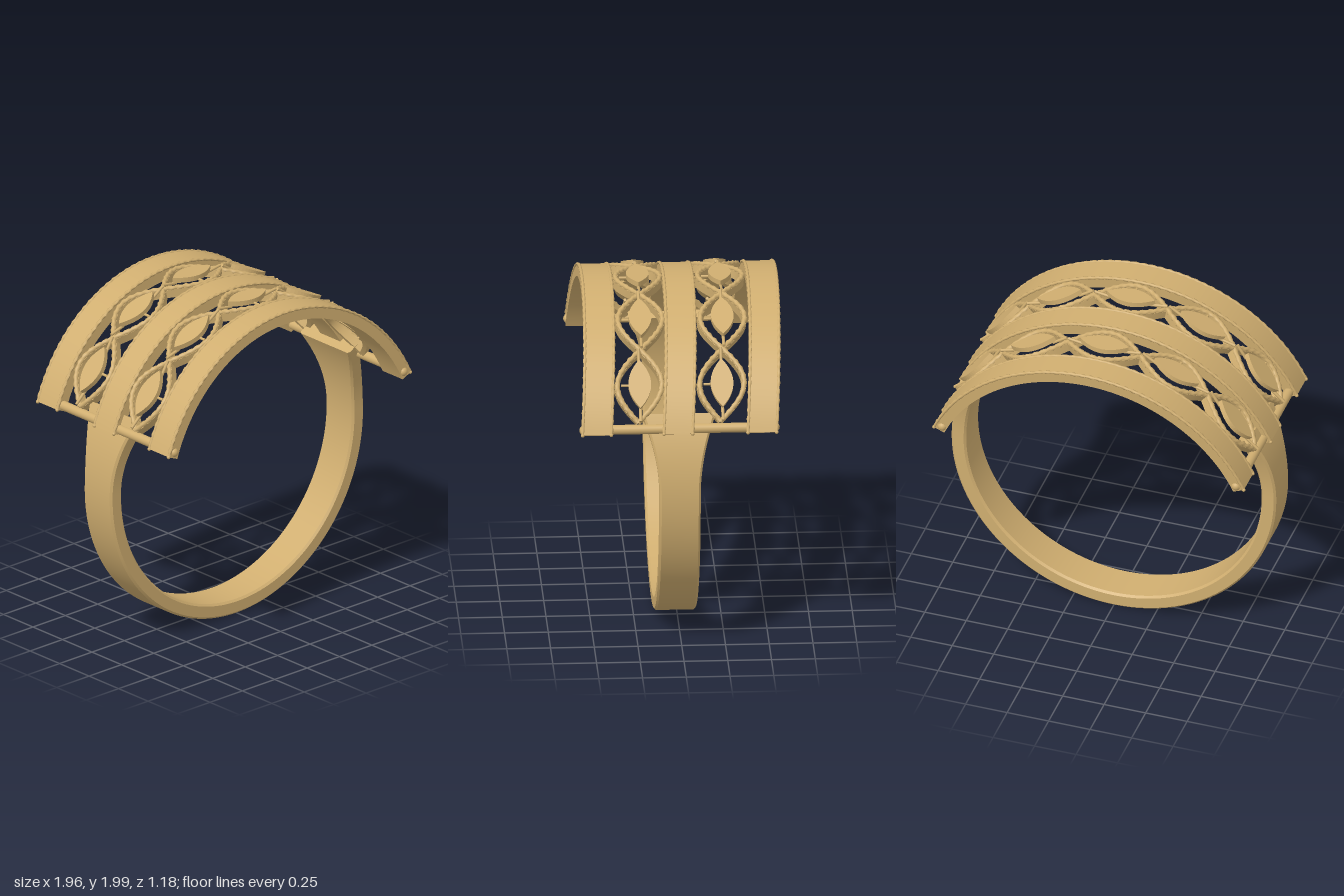
import * as THREE from 'three';
import { toCreasedNormals } from 'three/addons/utils/BufferGeometryUtils.js';

const gold = new THREE.MeshStandardMaterial({ color: 0xd0ae70 });
const rad = THREE.MathUtils.degToRad;
const CY = 0.968; // height of the common centre of the top arcs

// Point on the top: angle from straight up, radius, depth (leaning back with height)
function arcPoint(phi, r, z) {
  const y = CY + r * Math.cos(phi);
  return new THREE.Vector3(r * Math.sin(phi), y, z - 0.072 * (y - 1.35));
}

// Solid skinned over closed cross-sections, capped at both ends
function sweep(steps, section) {
  const pos = [], idx = [];
  let n = 0;
  for (let i = 0; i <= steps; i++) {
    const pts = section(i / steps);
    n = pts.length;
    pts.forEach(p => pos.push(p.x, p.y, p.z));
  }
  for (let i = 0; i < steps; i++) {
    for (let j = 0; j < n; j++) {
      const a = i * n + j, b = i * n + (j + 1) % n;
      idx.push(a, b, a + n, b, b + n, a + n);
    }
  }
  const last = steps * n;
  for (let j = 1; j < n - 1; j++) {
    idx.push(0, j + 1, j, last, last + j, last + j + 1);
  }
  const geo = new THREE.BufferGeometry();
  geo.setAttribute('position', new THREE.Float32BufferAttribute(pos, 3));
  geo.setIndex(idx);
  return toCreasedNormals(geo, rad(30));
}

function add(parent, name, geo) {
  const mesh = new THREE.Mesh(geo, gold);
  mesh.name = name;
  parent.add(mesh);
  return mesh;
}

// Twisted wire following a path of t in 0..1
function rope(path, radius, segments) {
  const curve = new THREE.Curve();
  curve.getPoint = (t, target = new THREE.Vector3()) => target.copy(path(t));
  const geo = new THREE.TubeGeometry(curve, segments, radius, 8);
  const p = geo.attributes.position, n = geo.attributes.normal;
  for (let i = 0; i < p.count; i++) {
    const ring = Math.floor(i / 9), side = i % 9;
    const d = radius * 0.22 * Math.cos(side * Math.PI / 2 - ring * 1.1);
    p.setXYZ(i, p.getX(i) + n.getX(i) * d, p.getY(i) + n.getY(i) * d, p.getZ(i) + n.getZ(i) * d);
  }
  geo.computeVertexNormals();
  return geo;
}

// Finger ring, open at the top and widening towards its two ends
function shank() {
  const c = 0.978, r0 = 0.89, r1 = 0.978, b = 0.012;
  return sweep(120, t => {
    const phi = rad(60.5 + 239 * t);
    const up = Math.max(0, c + 0.93 * Math.cos(phi) - 1);
    const w = 0.1175 + Math.min(0.09, 0.06 * (up / 0.35) ** 2);
    return [[r0, -w + b], [r0 + b, -w], [r1 - b, -w], [r1, -w + b],
      [r1, w - b], [r1 - b, w], [r0 + b, w], [r0, w - b]]
      .map(([r, z]) => new THREE.Vector3(r * Math.sin(phi), c + r * Math.cos(phi), 0.02 + z));
  });
}

// Plain arched band with a wire along each edge
function archedBand(z) {
  const band = new THREE.Group();
  band.name = 'archedBand';
  const end = rad(66.9), w = 0.085;
  const angle = t => end * (2 * t - 1);
  add(band, 'bandPlate', sweep(80, t =>
    [[0.946, -w], [1.016, -w], [1.016, w], [0.946, w]].map(([r, d]) => arcPoint(angle(t), r, z + d))));
  for (const s of [-1, 1]) {
    const edge = t => arcPoint(angle(t), 1.014, z + s * (w - 0.003));
    add(band, 'edgeWire', rope(edge, 0.009, 260));
    for (const t of [0, 1]) {
      add(band, 'wireEnd', new THREE.SphereGeometry(0.011, 10, 8)).position.copy(edge(t));
    }
  }
  return band;
}

// Pointed-oval plate, lying flat
function leafGeometry() {
  const shape = new THREE.Shape();
  shape.moveTo(-0.145, 0);
  shape.quadraticCurveTo(0, -0.13, 0.145, 0);
  shape.quadraticCurveTo(0, 0.13, -0.145, 0);
  const geo = new THREE.ExtrudeGeometry(shape, { depth: 0.03, bevelEnabled: false, curveSegments: 16 });
  return geo.rotateX(-Math.PI / 2);
}

// Openwork strip: two crossing wavy ribbons with a leaf in each of five loops
function openworkStrip(z) {
  const strip = new THREE.Group();
  strip.name = 'openworkStrip';
  const lobe = rad(25.2), amp = 0.127, w = 0.014;
  const angle = t => lobe * 5 * (t - 0.5);
  for (const s of [-1, 1]) {
    const wave = phi => s * amp * Math.cos(Math.PI * phi / lobe);
    add(strip, 'wavyRibbon', sweep(120, t => {
      const phi = angle(t);
      const slope = -s * amp * Math.PI / lobe * Math.sin(Math.PI * phi / lobe);
      const len = Math.hypot(1, slope);
      return [[0.95, -w], [1.0, -w], [1.0, w], [0.95, w]].map(([r, d]) =>
        arcPoint(phi - d * slope / len, r, z + wave(phi) + d / len));
    }));
    add(strip, 'wavyWire', rope(t => arcPoint(angle(t), 1.003, z + wave(angle(t))), 0.014, 320));
  }
  const leaf = leafGeometry();
  for (let i = -2; i <= 2; i++) {
    const setting = new THREE.Group();
    setting.name = 'leafSetting';
    setting.position.copy(arcPoint(i * lobe, 0.996, z));
    setting.rotation.z = -i * lobe;
    add(setting, 'leaf', leaf);
    // Short pins tie the leaf to the ribbons
    for (const s of [-1, 1]) {
      const pin = add(setting, 'tipPin', new THREE.CylinderGeometry(0.009, 0.009, 0.1, 8));
      pin.rotation.z = Math.PI / 2 + s * 0.15;
      pin.position.set(s * 0.17, 0.0, 0);
    }
    const sidePin = add(setting, 'sidePin', new THREE.CylinderGeometry(0.008, 0.008, 0.06, 8));
    sidePin.rotation.x = Math.PI / 2;
    sidePin.position.set(0, 0.002, 0.075);
    strip.add(setting);
  }
  return strip;
}

export function createModel() {
  const model = new THREE.Group();
  model.name = 'openworkRing';
  add(model, 'shank', shank());
  for (const z of [0.495, 0.03, -0.45]) model.add(archedBand(z));
  for (const z of [0.26, -0.21]) model.add(openworkStrip(z));

  // Round crossbars joining the band ends, with domed tips
  for (const s of [-1, 1]) {
    const bar = new THREE.Group();
    bar.name = 'crossbar';
    bar.position.set(s * 0.885, 1.38, 0.02);
    add(bar, 'barRod', new THREE.CylinderGeometry(0.028, 0.028, 1.1, 20)).rotation.x = Math.PI / 2;
    for (const e of [-1, 1]) {
      add(bar, 'barTip', new THREE.SphereGeometry(0.028, 16, 10)).position.z = e * 0.545;
    }
    model.add(bar);
  }
  return model;
}
